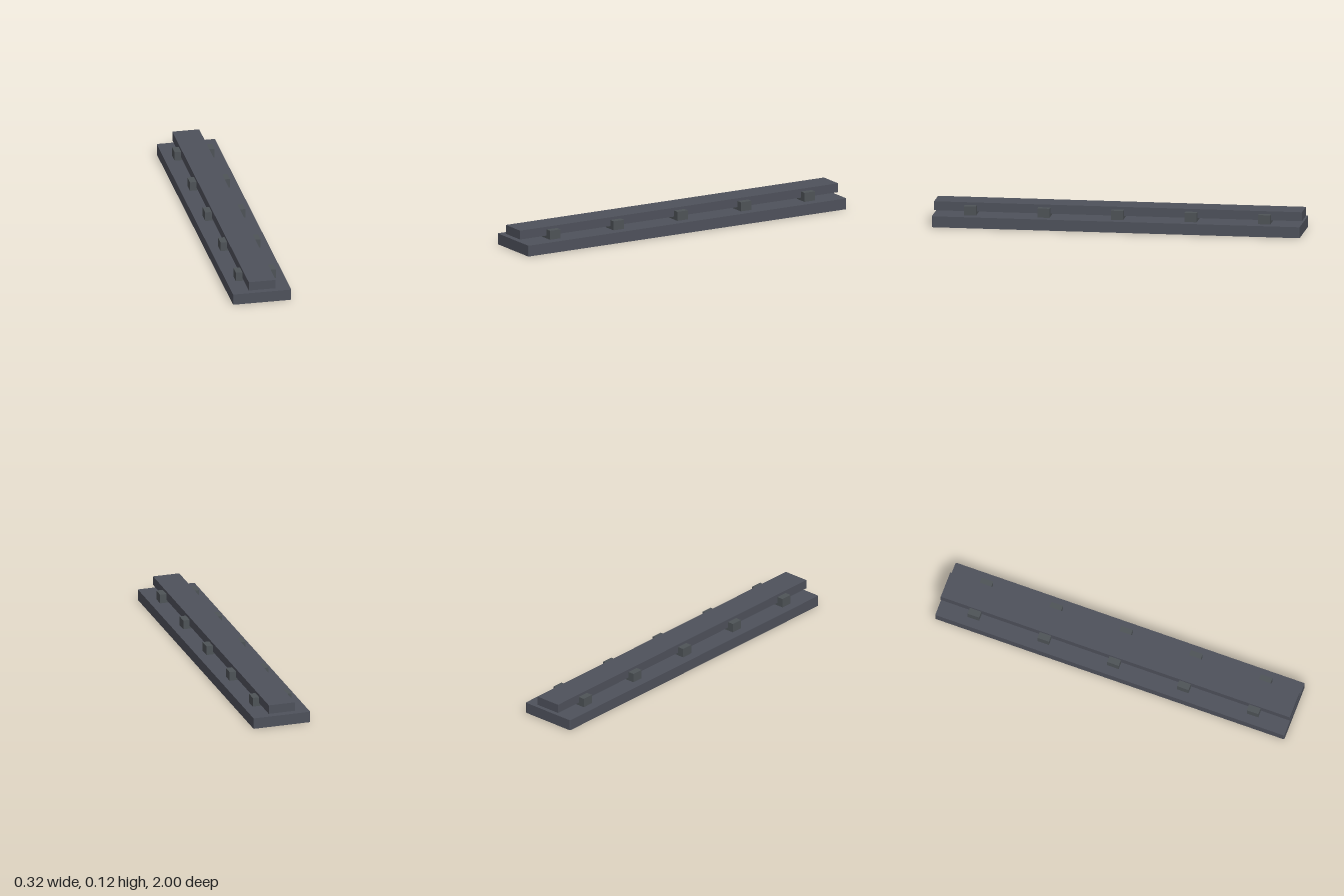
import * as THREE from 'three';

export function createModel() {
  const model = new THREE.Group();
  const steel = new THREE.MeshStandardMaterial({ color: 0x4e515b });
  steel.name = 'dark steel';
  const clampSteel = new THREE.MeshStandardMaterial({ color: 0x4e5357 });
  clampSteel.name = 'clamp steel';

  const add = (name, geometry, material, x, y, z) => {
    const mesh = new THREE.Mesh(geometry, material);
    mesh.name = name;
    mesh.position.set(x, y, z);
    model.add(mesh);
  };

  // Base plate with slightly rounded upright corners
  const w = 0.16, l = 1, r = 0.006;
  const outline = new THREE.Shape();
  outline.absarc(w - r, l - r, r, 0, Math.PI / 2);
  outline.absarc(-w + r, l - r, r, Math.PI / 2, Math.PI);
  outline.absarc(-w + r, -l + r, r, Math.PI, Math.PI * 1.5);
  outline.absarc(w - r, -l + r, r, Math.PI * 1.5, Math.PI * 2);
  outline.closePath();
  const base = new THREE.ExtrudeGeometry(outline, { depth: 0.06, bevelEnabled: false, curveSegments: 4 });
  base.rotateX(-Math.PI / 2);
  add('basePlate', base, steel, 0, 0, 0);

  // Raised rail running the full length
  add('rail', new THREE.BoxGeometry(0.148, 0.049, 2), steel, 0, 0.1005, 0);

  // Cross blocks that carry the rail above the plate
  for (let i = -2; i <= 2; i++) {
    add('crossBlock', new THREE.BoxGeometry(0.22, 0.052, 0.066), clampSteel, 0, 0.084, i * 0.4);
  }
  return model;
}
